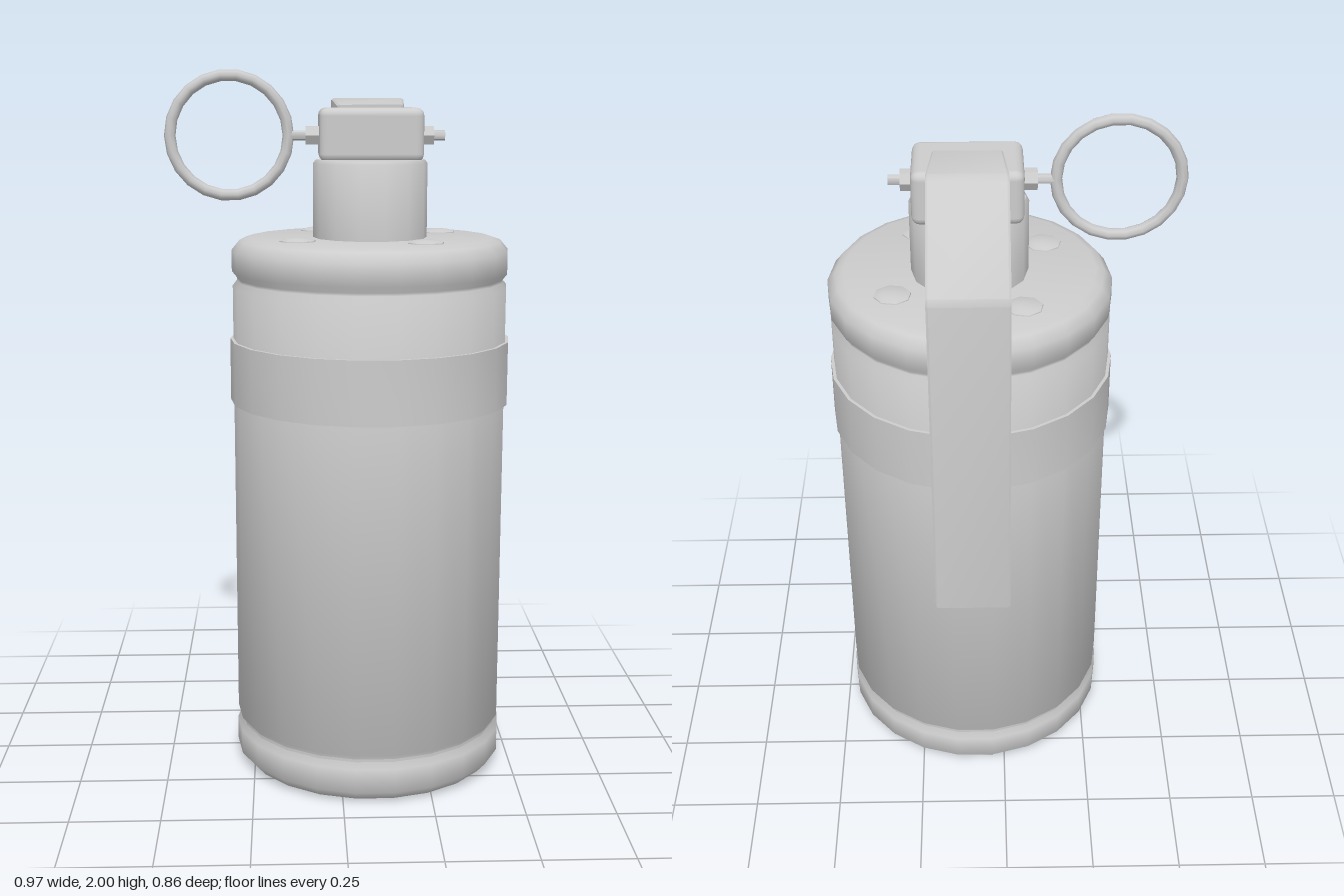
import * as THREE from 'three';
import { toCreasedNormals } from 'three/addons/utils/BufferGeometryUtils.js';
import { RoundedBoxGeometry } from 'three/addons/geometries/RoundedBoxGeometry.js';

const AXIS_X = 0.088, AXIS_Z = 0.04; // centre line of the canister
const PIN_Y = 1.82, PIN_Z = 0.01;

export function createModel() {
  const model = new THREE.Group();
  const metal = new THREE.MeshStandardMaterial({ color: 0xcccccc });
  metal.name = 'light grey metal';

  const add = (name, geometry, x = 0, y = 0, z = 0) => {
    const mesh = new THREE.Mesh(geometry, metal);
    mesh.name = name;
    mesh.position.set(x, y, z);
    model.add(mesh);
    return mesh;
  };
  // Turned part from [radius, height] pairs, with a flat side facing front
  const turned = (pairs, sides, crease) => toCreasedNormals(
    new THREE.LatheGeometry(pairs.map(([r, y]) => new THREE.Vector2(r, y)), sides, Math.PI / sides),
    crease);

  // Canister with rolled rims at both ends
  add('canister', turned([
    [0, 0], [0.34, 0], [0.365, 0.008], [0.39, 0.036], [0.39, 0.105], [0.376, 0.122],
    [0.376, 0.13], [0.388, 0.145], [0.388, 1.405], [0.376, 1.42], [0.376, 1.428],
    [0.39, 1.445], [0.39, 1.505], [0.368, 1.532], [0.345, 1.54], [0, 1.54],
  ], 22, 0.95), AXIS_X, 0, AXIS_Z);

  // Raised band around the canister
  add('band', turned([
    [0.38, 1.077], [0.397, 1.077], [0.397, 1.255], [0.38, 1.255],
  ], 22, 0.95), AXIS_X, 0, AXIS_Z);

  // Neck
  add('neck', turned([
    [0.16, 1.53], [0.16, 1.745], [0.152, 1.755], [0, 1.755],
  ], 14, 0.9), AXIS_X, 0, 0.037);

  // Fuse head
  add('fuseHead', new RoundedBoxGeometry(0.29, 0.148, 0.208, 2, 0.022), 0.09, 1.822, -0.014);

  // Safety pin and its hexagonal bosses
  const rod = (name, radius, from, to, sides) => {
    const geometry = toCreasedNormals(new THREE.CylinderGeometry(radius, radius, to - from, sides), 0.9);
    geometry.rotateZ(Math.PI / 2);
    return add(name, geometry, (from + to) / 2, PIN_Y, PIN_Z);
  };
  rod('safetyPin', 0.014, -0.135, 0.298, 8);
  rod('rightBoss', 0.029, -0.092, -0.04, 6);
  rod('leftBoss', 0.029, 0.22, 0.266, 6);

  // Pull ring
  add('pullRing', new THREE.TorusGeometry(0.165, 0.016, 8, 22), -0.305, PIN_Y, PIN_Z);

  // Bent safety lever: side profile as [distance behind centre, height]
  const profile = [
    [0.0, 1.885], [0.0, 1.9], [0.165, 1.917], [0.19, 1.908], [0.421, 1.713], [0.427, 1.695],
    [0.402, 0.705], [0.373, 0.705], [0.396, 1.69], [0.168, 1.887], [0.11, 1.88],
  ];
  const shape = new THREE.Shape(profile.map(([d, y]) => new THREE.Vector2(d, y)).reverse());
  const lever = new THREE.ExtrudeGeometry(shape, {
    depth: 0.197, bevelEnabled: true, bevelThickness: 0.006, bevelSize: 0.004, bevelSegments: 1,
  });
  lever.rotateY(Math.PI / 2);
  // Taper the front tip of the lever where it enters the head
  const p = lever.attributes.position;
  for (let i = 0; i < p.count; i++) {
    if (p.getZ(i) > -0.02) p.setX(i, 0.0985 + (p.getX(i) - 0.0985) * 0.88);
  }
  lever.computeVertexNormals();
  add('safetyLever', toCreasedNormals(lever, 0.6), -0.009, 0, 0);

  // Shallow domed rivets on the lid
  const rivet = turned([[0.052, -0.004], [0.05, 0.003], [0.03, 0.009], [0, 0.011]], 8, 0.9);
  [[-0.055, -0.17], [0.293, -0.105], [-0.117, 0.175], [0.228, 0.24]].forEach(([x, z], i) => {
    add('rivet' + (i + 1), rivet, x, 1.54, z).rotation.y = Math.atan2(x - AXIS_X, z - AXIS_Z);
  });

  return model;
}
